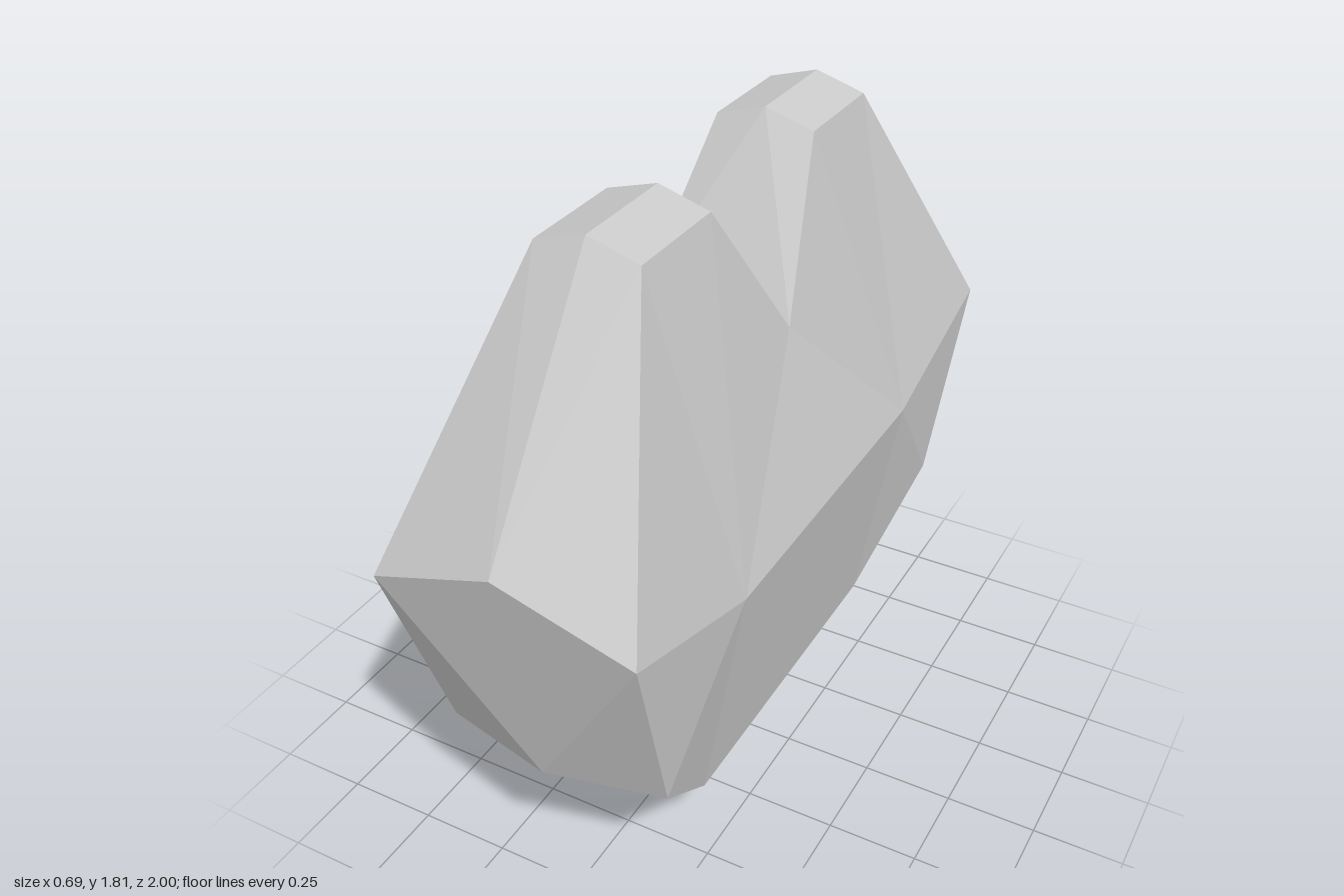
import * as THREE from 'three';

// Half outline from the notch over one lobe to the tip: [x, y, z]
const ridge = [
  [0, 1.37, 0], [0, 1.81, 0.265], [0, 1.81, 0.565], [0, 1.19, 1],
  [0, 0.515, 0.87], [0, 0.23, 0.49], [0, 0, 0.09],
];
const rim = [
  [0.21, 1.37, 0], [0.135, 1.77, 0.265], [0.135, 1.77, 0.565], [0.345, 1.06, 0.975],
  [0.308, 0.515, 0.8], [0.23, 0.23, 0.48], [0.045, 0, 0.09],
];
const hub = [0.345, 0.905, 0.48]; // fullest point of the broad side

const onMiddle = ([x, y]) => [x, y, 0];

// Triangles of one quarter of the heart (+x, +z)
function quarterFaces() {
  const tris = [];
  const quad = (a, b, c, d) => tris.push([a, b, c], [a, c, d]);
  // bevelled band around the outline
  for (let i = 0; i < rim.length - 1; i++) quad(rim[i], ridge[i], ridge[i + 1], rim[i + 1]);
  // broad side, fanned around the hub
  for (let i = 0; i < 5; i++) tris.push([hub, rim[i], rim[i + 1]]);
  tris.push([onMiddle(hub), rim[0], hub]);
  quad(hub, rim[5], onMiddle(rim[5]), onMiddle(hub));
  // taper to the tip and the small flat foot
  quad(rim[5], rim[6], onMiddle(rim[6]), onMiddle(rim[5]));
  quad(rim[6], ridge[6], [0, 0, 0], onMiddle(rim[6]));
  return tris;
}

export function createModel() {
  const positions = [];
  // mirror the quarter over both planes, turning the corner order when needed
  for (const sx of [1, -1]) for (const sz of [1, -1]) {
    for (const tri of quarterFaces()) {
      const corners = sx * sz > 0 ? tri : [...tri].reverse();
      for (const [x, y, z] of corners) positions.push(x * sx, y, z * sz);
    }
  }
  const geometry = new THREE.BufferGeometry();
  geometry.setAttribute('position', new THREE.Float32BufferAttribute(positions, 3));
  geometry.computeVertexNormals();

  const heart = new THREE.Mesh(
    geometry,
    new THREE.MeshStandardMaterial({ color: 0xcccccc, flatShading: true }),
  );
  heart.name = 'heart';

  const group = new THREE.Group();
  group.name = 'facetedHeart';
  group.add(heart);
  return group;
}
